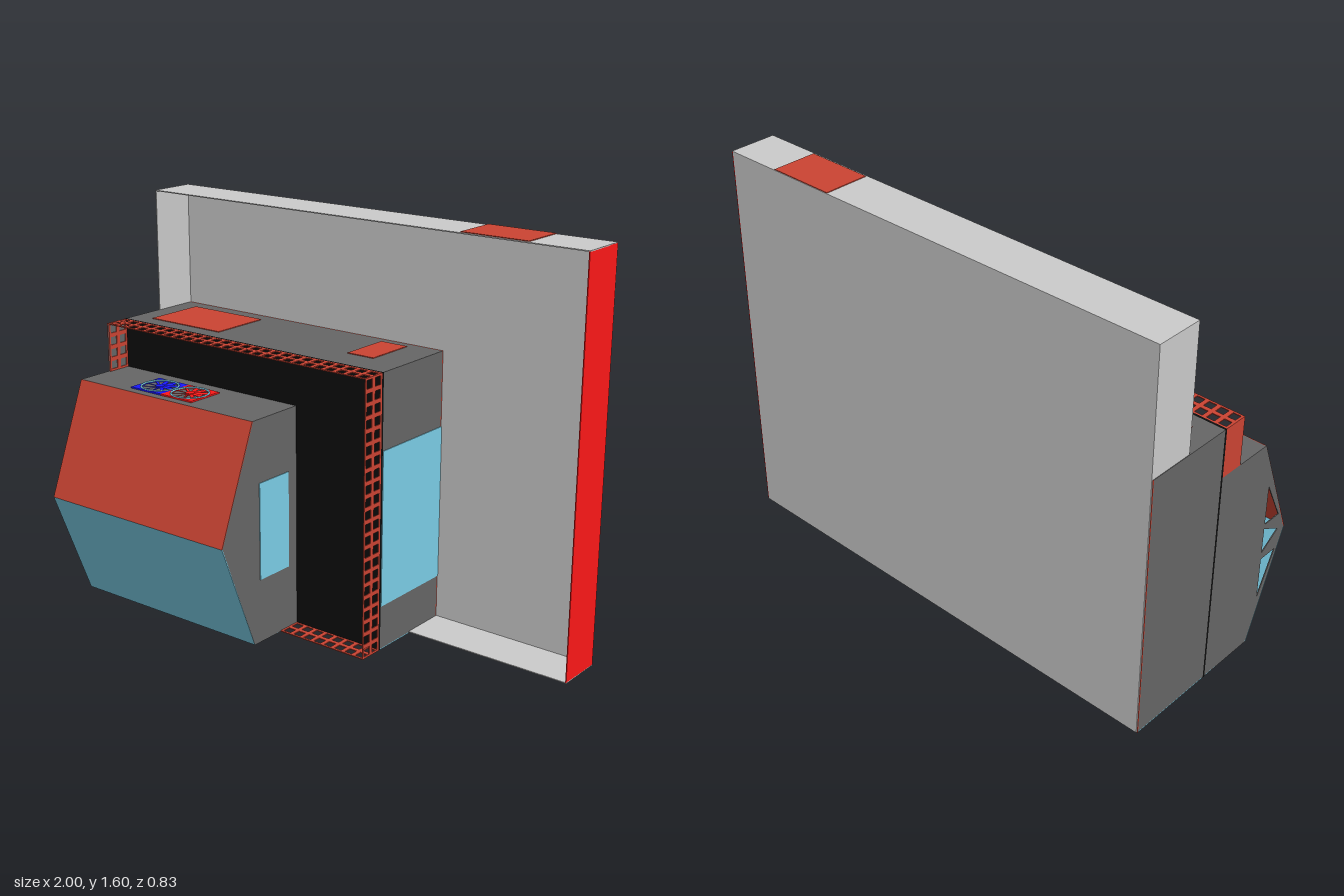
import * as THREE from 'three';

const GREY = 0xcccccc, DARK = 0x666666, BLACK = 0x0d0d0d, RED = 0xcc4433,
  BRIGHT_RED = 0xff1818, SKY = 0x7ccfe8, BLUE = 0x1818ff;
const T = 0.004; // sheet thickness

const mats = {};
const mat = (color) => (mats[color] ??= new THREE.MeshStandardMaterial({ color, side: THREE.DoubleSide }));

function add(parent, name, geometry, color) {
  const mesh = new THREE.Mesh(geometry, mat(color));
  mesh.name = name;
  parent.add(mesh);
  return mesh;
}

function box(parent, name, color, x0, x1, y0, y1, z0, z1) {
  const g = new THREE.BoxGeometry(x1 - x0, y1 - y0, z1 - z0);
  g.translate((x0 + x1) / 2, (y0 + y1) / 2, (z0 + z1) / 2);
  return add(parent, name, g, color);
}

const outline = (pts, Kind = THREE.Shape) => new Kind(pts.map(([a, b]) => new THREE.Vector2(a, b)));
const basis = (x, y, z) => new THREE.Matrix4().makeBasis(
  new THREE.Vector3(...x), new THREE.Vector3(...y), new THREE.Vector3(...z));

// Cross-section in (z, y), extruded along x
function prism(parent, name, color, pts, x0, x1, holes = []) {
  const shape = outline(pts);
  shape.holes = holes.map((h) => outline(h, THREE.Path));
  const g = new THREE.ExtrudeGeometry(shape, { depth: x1 - x0, bevelEnabled: false });
  g.applyMatrix4(basis([0, 0, 1], [0, 1, 0], [-1, 0, 0])).translate(x1, 0, 0);
  return add(parent, name, g, color);
}

// Perforated strip with two rows of square holes, lying in its own XY plane
function latticeGeometry(length) {
  const p = 0.05, h = 0.0165;
  const shape = outline([[0, 0], [length, 0], [length, 2 * p], [0, 2 * p]]);
  for (let i = 0; i < Math.round(length / p); i++) {
    for (let j = 0; j < 2; j++) {
      const cx = (i + 0.5) * p, cy = (j + 0.5) * p;
      shape.holes.push(outline([[cx - h, cy - h], [cx - h, cy + h], [cx + h, cy + h], [cx + h, cy - h]], THREE.Path));
    }
  }
  return new THREE.ExtrudeGeometry(shape, { depth: T, bevelEnabled: false });
}

function backTray() {
  const g = new THREE.Group();
  g.name = 'backTray';
  const z0 = -0.414, z1 = -0.22, L = -0.998;
  box(g, 'backWall', GREY, L, 1, 0.003, 1.6, z0, z0 + T);
  box(g, 'leftEndWall', GREY, L, L + T, 0.003, 1.6, z0, z1);
  box(g, 'rightEndWall', BRIGHT_RED, 1 - T, 1, 0.006, 1.598, z0, z1);
  box(g, 'topWall', GREY, L, 1, 1.6 - T, 1.6, z0, z1);
  box(g, 'bottomWall', GREY, L, 1, 0.003, 0.003 + T, z0, z1);
  box(g, 'topPatch', RED, 0.48, 0.76, 1.598, 1.603, z0 + 0.002, -0.228);
  return g;
}

function middleBlock() {
  const g = new THREE.Group();
  g.name = 'middleBlock';
  const z0 = -0.409, z1 = -0.03;
  box(g, 'backPlate', RED, -1, 0.3, 0, 1.1, z0, z0 + T);
  box(g, 'core', DARK, -1, 0.3, T, 1.1, z0 + T, z1);
  box(g, 'bottomPlate', SKY, -1, 0.3, 0, T, z0 + T, z1);
  box(g, 'frontPanel', BLACK, -1, 0.3, 0, 1.1, z1, -0.02);
  box(g, 'sideWindow', SKY, 0.298, 0.303, 0.18, 0.8, z0, z1);
  box(g, 'topPatchLarge', RED, -0.91, -0.55, 1.098, 1.103, -0.35, -0.09);
  box(g, 'topPatchSmall', RED, 0.04, 0.16, 1.098, 1.103, -0.37, -0.155);
  return g;
}

function latticeFrame() {
  const g = new THREE.Group();
  g.name = 'latticeFrame';
  const flat = basis([1, 0, 0], [0, 0, 1], [0, -1, 0]);
  const upright = basis([0, 1, 0], [0, 0, 1], [1, 0, 0]);
  const strip = (name, length, m, x, y) =>
    add(g, name, latticeGeometry(length).applyMatrix4(m).translate(x, y, -0.02), RED);
  strip('topLattice', 1.3, flat, -1, 1.1);
  strip('bottomLattice', 0.4, flat, -0.1, T);
  strip('rightLattice', 1.1, upright, 0.3 - T, 0);
  // Closed end above the front housing
  strip('leftLattice', 0.2, upright, -0.994, 0.9);
  box(g, 'leftLatticeBacking', DARK, -0.997, -0.994, 0.9, 1.1, -0.02, 0.08);
  box(g, 'leftLatticeCover', RED, -1, -0.997, 0.9, 1.1, -0.02, 0.08);
  return g;
}

function fan(name, color, x, z) {
  const g = new THREE.Group();
  g.name = name;
  const s = 0.08;
  const plate = outline([[-s, -s], [s, -s], [s, s], [-s, s]]);
  plate.holes.push(new THREE.Path().absarc(0, 0, 0.072, 0, Math.PI * 2, true));
  add(g, 'fanPlate', new THREE.ExtrudeGeometry(plate, { depth: 0.006, bevelEnabled: false, curveSegments: 24 })
    .rotateX(-Math.PI / 2), color);
  add(g, 'fanRing', new THREE.TorusGeometry(0.074, 0.004, 6, 32).rotateX(Math.PI / 2).translate(0, 0.006, 0), SKY);
  add(g, 'fanHub', new THREE.CylinderGeometry(0.018, 0.018, 0.008, 16).translate(0, 0.004, 0), color);
  for (let i = 0; i < 10; i++) {
    const blade = new THREE.BoxGeometry(0.055, 0.002, 0.013).rotateX(0.3).translate(0.042, 0.004, 0);
    add(g, 'fanBlade', blade.rotateY((i * Math.PI) / 5), color);
  }
  g.position.set(x, 0.9, z);
  return g;
}

function frontHousing() {
  const g = new THREE.Group();
  g.name = 'frontHousing';
  const x0 = -1, x1 = -0.1, zb = -0.02, zf = 0.235, zn = 0.414, top = 0.9, mid = 0.45;
  const profile = [[zb, 0], [zf, 0], [zn - 0.004, mid], [zf, top], [zb, top]];
  // Left wall has three small triangular windows in its nose
  prism(g, 'leftSide', DARK, profile, x0, x0 + T, [
    [[0.28, 0.53], [0.28, 0.7], [0.365, 0.53]],
    [[0.28, 0.4], [0.28, 0.51], [0.37, 0.46]],
    [[0.28, 0.19], [0.28, 0.37], [0.365, 0.37]],
  ]);
  prism(g, 'rightSide', DARK, profile, x1 - T, x1);
  prism(g, 'upperSlope', RED, [[zf, top], [zf - 0.005, top], [zn - 0.005, mid], [zn, mid]], x0, x1);
  prism(g, 'lowerSlope', SKY, [[zf, 0], [zn, mid], [zn - 0.005, mid], [zf - 0.005, 0]], x0, x1);
  box(g, 'roof', DARK, x0, x1, top - T, top, zb, zf);
  box(g, 'floor', SKY, x0, x1, 0, T, zb, zf);
  box(g, 'sideWindow', SKY, x1 - 0.002, x1 + 0.003, 0.26, 0.65, 0.03, 0.2);
  g.add(fan('blueFan', BLUE, -0.675, 0.12), fan('redFan', BRIGHT_RED, -0.515, 0.12));
  return g;
}

export function createModel() {
  const model = new THREE.Group();
  model.name = 'model';
  model.add(backTray(), middleBlock(), latticeFrame(), frontHousing());
  return model;
}
